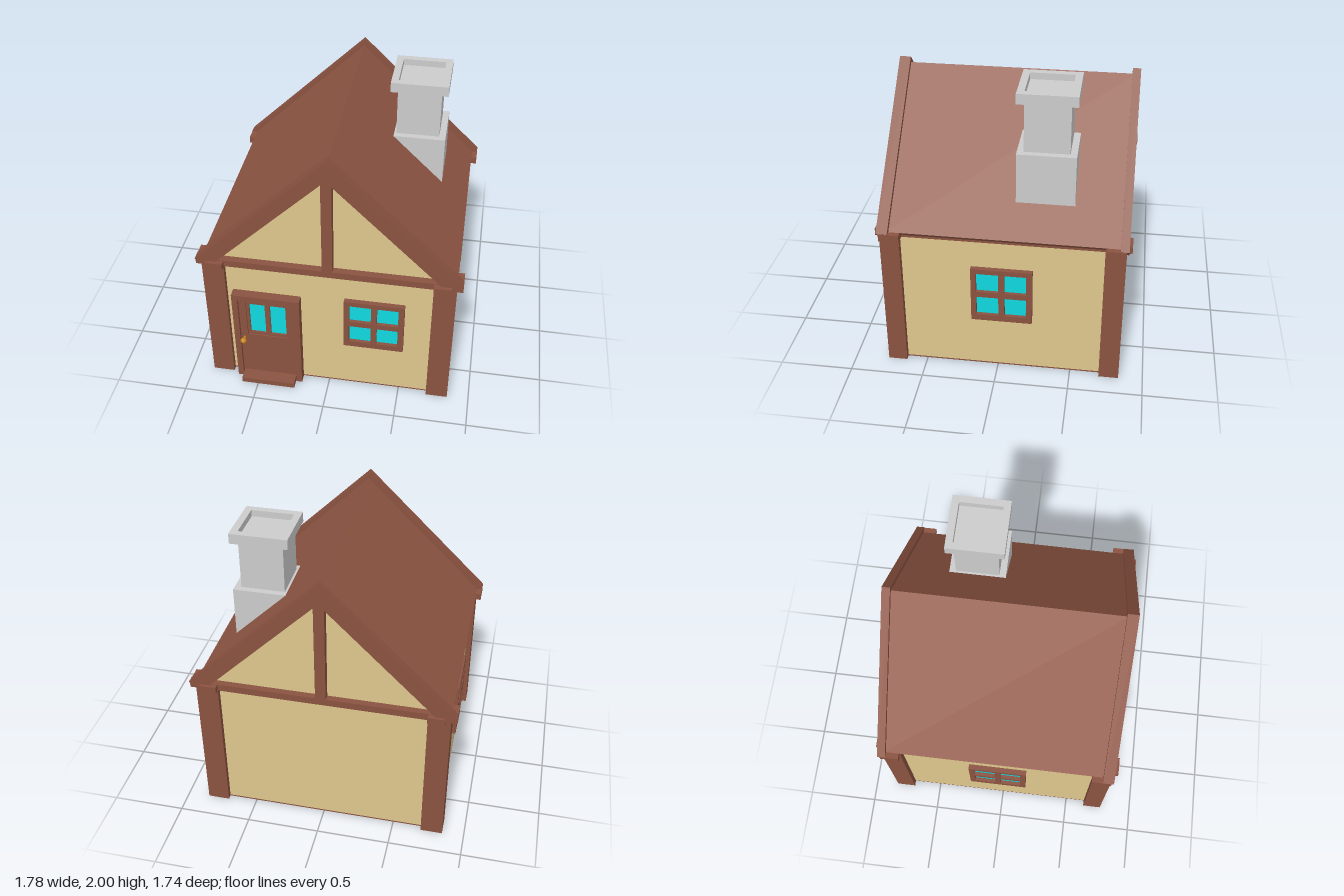
import * as THREE from 'three';

const mat = (color) => new THREE.MeshStandardMaterial({ color, flatShading: true });

export function createModel() {
  const house = new THREE.Group();
  house.name = 'cottage';
  const wood = mat(0x8a5240), roofRed = mat(0x8f5643), plaster = mat(0xdec68c);
  const glass = mat(0x10d8e0), stone = mat(0xcccccc), brass = mat(0xc8861e);

  const add = (name, geometry, material, parent = house) => {
    const mesh = new THREE.Mesh(geometry, material);
    mesh.name = name;
    parent.add(mesh);
    return mesh;
  };
  // Box given by its extents on each axis
  const box = (name, material, [x0, x1], [y0, y1], [z0, z1], parent) => {
    const mesh = add(name, new THREE.BoxGeometry(x1 - x0, y1 - y0, z1 - z0), material, parent);
    mesh.position.set((x0 + x1) / 2, (y0 + y1) / 2, (z0 + z1) / 2);
    return mesh;
  };
  const points = (list) => list.map(([x, y]) => new THREE.Vector2(x, y));
  const rect = (x0, x1, y0, y1) => points([[x0, y0], [x1, y0], [x1, y1], [x0, y1]]);
  // Outline with optional holes, extruded from z0 to z1
  const slab = (name, material, outline, holes, z0, z1, parent) => {
    const shape = new THREE.Shape(outline);
    holes.forEach((h) => shape.holes.push(new THREE.Path(h)));
    const geometry = new THREE.ExtrudeGeometry(shape, { depth: z1 - z0, bevelEnabled: false });
    geometry.translate(0, 0, z0);
    return add(name, geometry, material, parent);
  };

  // Walls and floor
  const wallX = 0.81, wallFront = 0.735, wallBack = -0.8;
  box('floor', wood, [-wallX, wallX], [0, 0.01], [wallBack, wallFront]);
  box('walls', plaster, [-wallX, wallX], [0.01, 1.02], [wallBack, wallFront]);
  slab('gableWalls', plaster, points([[-0.8, 1.02], [0.8, 1.02], [0, 1.82]]), [], -0.79, 0.715);

  // Corner posts and eave beams
  for (const s of [-1, 1]) {
    const span = (a, b) => (s > 0 ? [a, b] : [-b, -a]);
    box('frontPost', wood, span(0.7, 0.85), [0, 1.01], [0.64, 0.77]);
    box('backPost', wood, span(0.7, 0.85), [0, 1.01], [-0.835, -0.7]);
    box('eaveBeam', wood, span(0.7, 0.815), [1.004, 1.052], [-0.87, 0.805]);
  }
  box('frontTieBeam', wood, [-0.89, 0.89], [1.006, 1.055], [0.63, 0.765]);
  box('backTieBeam', wood, [-0.89, 0.89], [1.006, 1.055], [-0.835, -0.705]);
  box('frontKingPost', wood, [-0.035, 0.035], [1.02, 1.82], [0.68, 0.765]);
  box('backKingPost', wood, [-0.035, 0.035], [1.02, 1.82], [-0.838, -0.76]);

  // Roof covering and the raised rafters at both gables
  const roof = points([[-0.85, 1.055], [-0.81, 1.015], [0, 1.81], [0.81, 1.015], [0.85, 1.055], [0, 1.89]]);
  slab('roof', roofRed, roof, [], -0.81, 0.72);
  const rafters = points([[-0.89, 1.06], [-0.825, 1.0], [-0.79, 1.01], [0, 1.795],
    [0.79, 1.01], [0.825, 1.0], [0.89, 1.06], [0, 1.93]]);
  slab('frontRafters', wood, rafters, [], 0.705, 0.78);
  slab('backRafters', wood, rafters, [], -0.85, -0.795);

  // Four-pane window, built facing +z around its own centre
  const makeWindow = (name, x, y, z, turn) => {
    const group = new THREE.Group();
    group.name = name;
    const panes = [];
    for (const [a, b] of [[-0.17, -0.02], [0.02, 0.165]])
      for (const [c, d] of [[-0.16, -0.015], [0.025, 0.17]]) panes.push(rect(a, b, c, d));
    slab('windowFrame', wood, rect(-0.205, 0.205, -0.205, 0.205), panes, -0.01, 0.035, group);
    box('windowGlass', glass, [-0.19, 0.19], [-0.19, 0.19], [-0.01, 0.01], group);
    group.position.set(x, y, z);
    group.rotation.y = turn;
    house.add(group);
  };
  makeWindow('frontWindow', 0.315, 0.605, wallFront, 0);
  makeWindow('leftWindow', wallX, 0.605, -0.03, Math.PI / 2);
  makeWindow('rightWindow', -wallX, 0.605, -0.03, -Math.PI / 2);

  // Door: surround, recessed leaf, glazed panel, knob and step
  const door = new THREE.Group();
  door.name = 'door';
  house.add(door);
  slab('doorSurround', wood, points([[-0.66, 0], [-0.62, 0], [-0.62, 0.74], [-0.23, 0.74],
    [-0.23, 0], [-0.19, 0], [-0.19, 0.78], [-0.66, 0.78]]), [], 0.72, 0.8, door);
  const doorPanes = [rect(-0.55, -0.44, 0.42, 0.685), rect(-0.405, -0.295, 0.42, 0.685)];
  slab('doorLeaf', wood, rect(-0.62, -0.23, 0.02, 0.74), [rect(-0.57, -0.28, 0.4, 0.715)], 0.72, 0.775, door);
  slab('doorWindowFrame', wood, rect(-0.57, -0.28, 0.4, 0.715), doorPanes, 0.72, 0.765, door);
  box('doorGlass', glass, [-0.56, -0.285], [0.41, 0.7], [0.72, 0.75], door);
  box('doorStep', wood, [-0.615, -0.235], [0, 0.04], [0.73, 0.865], door);
  const knobMat = brass.clone();
  knobMat.flatShading = false;
  add('doorKnob', new THREE.SphereGeometry(0.021, 20, 14), knobMat, door).position.set(-0.595, 0.37, 0.815);
  const stem = add('knobStem', new THREE.CylinderGeometry(0.009, 0.009, 0.04, 12), knobMat, door);
  stem.rotation.x = Math.PI / 2;
  stem.position.set(-0.595, 0.37, 0.79);

  // Chimney: base rising from the slope, shaft, and a hollow cap
  const chimney = new THREE.Group();
  chimney.name = 'chimney';
  chimney.position.set(0.473, 0, -0.295);
  house.add(chimney);
  const block = (name, half, y0, y1) => box(name, stone, [-half, half], [y0, y1], [-half, half], chimney);
  block('chimneyBase', 0.192, 1.2, 1.585);
  block('chimneyShaft', 0.148, 1.5, 1.955);
  const cap = slab('chimneyCap', stone, rect(-0.193, 0.193, -0.193, 0.193),
    [rect(-0.145, 0.145, -0.145, 0.145)], 0, 0.07, chimney);
  cap.rotation.x = -Math.PI / 2;
  cap.position.y = 1.93;

  return house;
}
